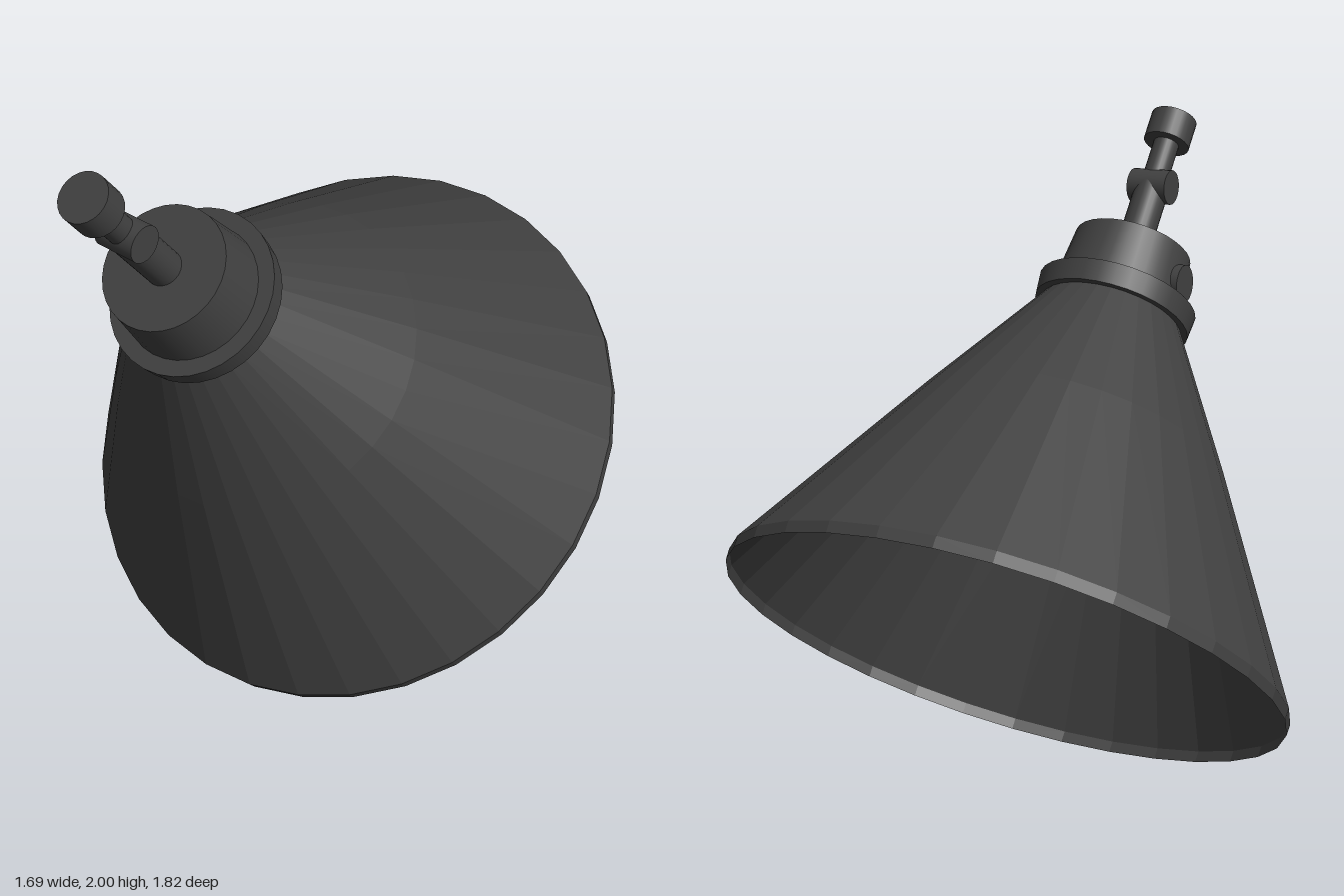
import * as THREE from 'three';

const dark = { color: 0x404040 };
const smooth = new THREE.MeshStandardMaterial(dark);
const facetted = new THREE.MeshStandardMaterial({ ...dark, flatShading: true, side: THREE.DoubleSide });

export function createModel() {
  const model = new THREE.Group();
  model.name = 'lampHead';

  // Everything is turned around one axis (local y), with the shade's rim at y = 0
  const lamp = new THREE.Group();
  lamp.name = 'tiltedLamp';
  lamp.rotation.x = THREE.MathUtils.degToRad(37);
  lamp.position.set(0, 0.509, -0.237);
  model.add(lamp);

  const add = (name, geometry, material = smooth) => {
    const mesh = new THREE.Mesh(geometry, material);
    mesh.name = name;
    lamp.add(mesh);
    return mesh;
  };
  // Cylinder along the lamp axis between two heights
  const turned = (name, y0, y1, r0, r1 = r0, sides = 32) => {
    const mesh = add(name, new THREE.CylinderGeometry(r1, r0, y1 - y0, sides));
    mesh.position.y = (y0 + y1) / 2;
    return mesh;
  };
  // Short cylinder lying across the lamp axis
  const cross = (name, x, y, radius, length) => {
    const mesh = add(name, new THREE.CylinderGeometry(radius, radius, length, 24));
    mesh.rotation.z = Math.PI / 2;
    mesh.position.set(x, y, 0);
    return mesh;
  };
  const lathe = (name, points, material) => add(name,
    new THREE.LatheGeometry(points.map(([r, y]) => new THREE.Vector2(r, y)), 32), material);

  // Thin conical shade with a short straight rim and a slight bend halfway up
  lathe('shade', [[0.843, 0], [0.845, 0.035], [0.47, 0.69], [0.217, 1.11]], facetted);

  // Bulb inside the shade, narrowing to its neck
  lathe('bulb', [[0, 0.43], [0.1, 0.445], [0.195, 0.5], [0.255, 0.585], [0.275, 0.68],
    [0.255, 0.78], [0.2, 0.88], [0.145, 0.97], [0.12, 1.12]], smooth);

  // Collar, tapered socket and the switch on its right side
  turned('collar', 1.108, 1.176, 0.24, 0.246);
  turned('socket', 1.17, 1.347, 0.2, 0.182);
  cross('switchKnob', -0.185, 1.24, 0.058, 0.045);

  // Jointed stem with end cap
  turned('lowerStem', 1.33, 1.56, 0.053, 0.053, 24);
  cross('hinge', 0, 1.567, 0.053, 0.128);
  turned('upperStem', 1.565, 1.74, 0.04, 0.04, 24);
  turned('endCap', 1.72, 1.812, 0.072, 0.072, 24);

  return model;
}
